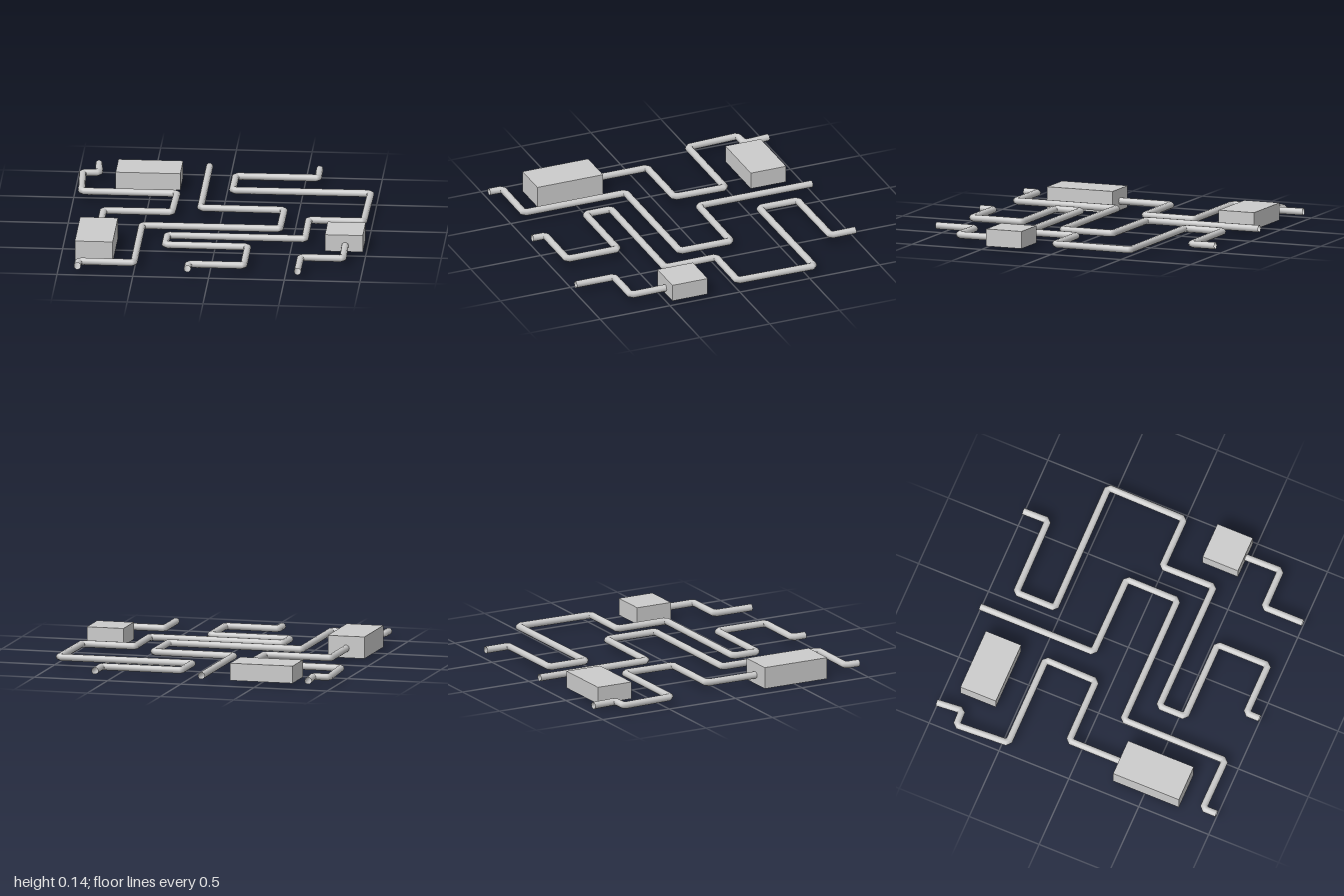
import * as THREE from 'three';

const PIPE_RADIUS = 0.0235, PIPE_HEIGHT = 0.062, SIDES = 10, BEVEL = 0.018;

// Replace each corner of a path with two points, giving a small bevel
function bevelCorners(points) {
  const out = [points[0]];
  for (let i = 1; i < points.length - 1; i++) {
    for (const n of [points[i - 1], points[i + 1]]) {
      const dir = n.clone().sub(points[i]).normalize();
      out.push(points[i].clone().addScaledVector(dir, BEVEL));
    }
  }
  out.push(points[points.length - 1]);
  return out;
}

// Sweep a round section along a flat path, with mitred rings
function pipeGeometry(corners) {
  const path = bevelCorners(corners.map(([x, z]) => new THREE.Vector2(x, z)));
  const positions = [], index = [];
  path.forEach((p, i) => {
    const before = p.clone().sub(path[Math.max(i - 1, 0)]).normalize();
    const after = path[Math.min(i + 1, path.length - 1)].clone().sub(p).normalize();
    const tangent = before.clone().add(after).normalize();
    const along = i === 0 ? after : before;
    const mitre = PIPE_RADIUS / tangent.dot(along);
    for (let s = 0; s < SIDES; s++) {
      const a = (s / SIDES) * Math.PI * 2;
      const w = Math.cos(a) * mitre;
      positions.push(p.x - tangent.y * w, PIPE_HEIGHT + Math.sin(a) * PIPE_RADIUS, p.y + tangent.x * w);
      if (i > 0) {
        const t = (s + 1) % SIDES, r0 = (i - 1) * SIDES, r1 = i * SIDES;
        index.push(r0 + s, r0 + t, r1 + s, r0 + t, r1 + t, r1 + s);
      }
    }
  });
  const geometry = new THREE.BufferGeometry();
  geometry.setAttribute('position', new THREE.Float32BufferAttribute(positions, 3));
  geometry.setIndex(index);
  geometry.computeVertexNormals();
  return geometry;
}

export function createModel() {
  const group = new THREE.Group();
  const boxMaterial = new THREE.MeshStandardMaterial({ color: 0xcccccc });
  const pipeMaterial = new THREE.MeshStandardMaterial({ color: 0xcccccc, side: THREE.DoubleSide });

  // Pipe runs, as [x, z] corners from back to front
  const pipes = {
    rightPipe: [[-0.87, -1], [-0.855, -0.825], [-0.965, -0.82], [-0.945, -0.457], [-0.315, -0.457],
      [-0.322, -0.095], [-0.775, -0.093], [-0.775, 0.32]],
    middlePipe: [[-0.14, -1], [-0.14, -0.19], [0.412, -0.187], [0.41, 0.177], [-0.5, 0.178],
      [-0.5, 0.905], [-0.866, 0.903], [-0.866, 1]],
    leftPipe: [[0.587, -1], [0.59, -0.825], [0.045, -0.82], [0.045, -0.545], [0.957, -0.55],
      [0.95, -0.005], [0.587, -0.005], [0.59, 0.36], [-0.32, 0.358], [-0.32, 0.542],
      [0.225, 0.542], [0.225, 0.905], [-0.14, 0.905], [-0.14, 1]],
    shortPipe: [[0.862, 0.43], [0.867, 0.722], [0.587, 0.724], [0.587, 1]],
  };
  for (const [name, corners] of Object.entries(pipes)) {
    const mesh = new THREE.Mesh(pipeGeometry(corners), pipeMaterial);
    mesh.name = name;
    group.add(mesh);
  }

  // Junction boxes: width, height, depth, then centre
  const boxes = {
    frontRightBox: [[0.25, 0.145, 0.47], [-0.776, 0.0725, 0.51]],
    backRightBox: [[0.427, 0.115, 0.253], [-0.52, 0.078, -0.762]],
    frontLeftBox: [[0.25, 0.115, 0.253], [0.855, 0.078, 0.348]],
  };
  for (const [name, [size, centre]] of Object.entries(boxes)) {
    const mesh = new THREE.Mesh(new THREE.BoxGeometry(...size), boxMaterial);
    mesh.position.set(...centre);
    mesh.name = name;
    group.add(mesh);
  }
  return group;
}
